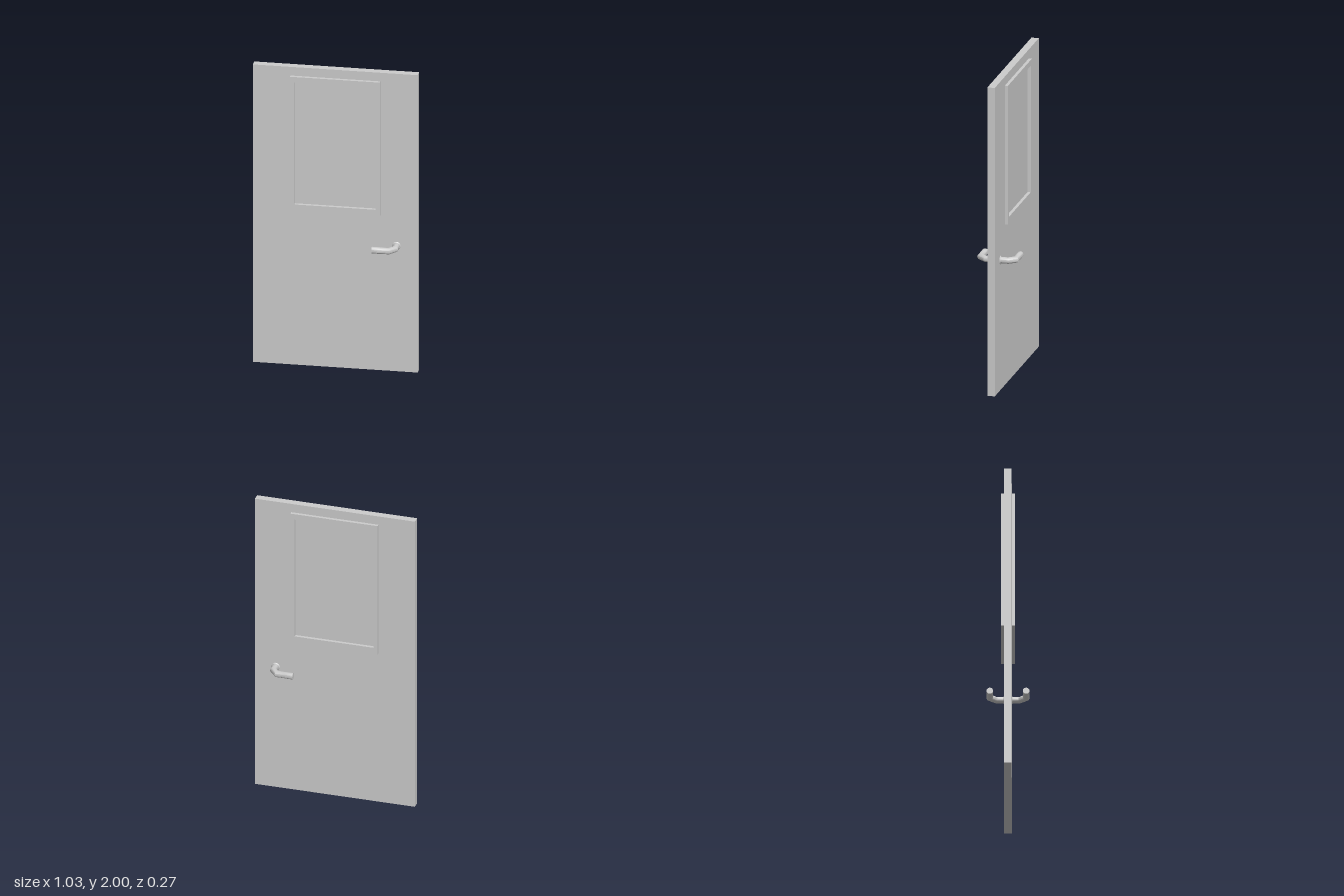
import * as THREE from 'three';
import { toCreasedNormals } from 'three/addons/utils/BufferGeometryUtils.js';

const material = new THREE.MeshStandardMaterial({ color: 0xcccccc });

function part(name, geometry, parent) {
  const mesh = new THREE.Mesh(geometry, material);
  mesh.name = name;
  parent.add(mesh);
  return mesh;
}

// Round bar along a path in the XZ plane with mitred corners; stations are [x, z, radius]
function mitredBar(stations, sides = 16) {
  const positions = [], index = [];
  const pts = stations.map(([x, z]) => new THREE.Vector2(x, z));
  stations.forEach(([x, z, r], i) => {
    const a = pts[Math.max(i - 1, 0)], b = pts[Math.min(i + 1, pts.length - 1)];
    const dIn = pts[i].clone().sub(a).normalize();
    const dOut = b.clone().sub(pts[i]).normalize();
    const t = dIn.clone().add(dOut).normalize();
    const stretch = 1 / t.dot(i ? dIn : dOut);
    for (let k = 0; k < sides; k++) {
      const ang = (k / sides) * Math.PI * 2;
      const side = Math.cos(ang) * r * stretch;
      positions.push(x - t.y * side, Math.sin(ang) * r, z + t.x * side);
    }
  });
  for (let i = 0; i < stations.length - 1; i++) {
    for (let k = 0; k < sides; k++) {
      const a = i * sides + k, b = i * sides + (k + 1) % sides;
      index.push(a, a + sides, b, b, a + sides, b + sides);
    }
  }
  // End caps
  const last = (stations.length - 1) * sides;
  for (let k = 1; k < sides - 1; k++) {
    index.push(0, k, k + 1, last, last + k + 1, last + k);
  }
  const geometry = new THREE.BufferGeometry();
  geometry.setAttribute('position', new THREE.Float32BufferAttribute(positions, 3));
  geometry.setIndex(index);
  return toCreasedNormals(geometry, 0.6);
}

function rectangle(PathType, x, y0, y1) {
  const p = new PathType();
  p.moveTo(-x, y0);
  p.lineTo(x, y0);
  p.lineTo(x, y1);
  p.lineTo(-x, y1);
  p.closePath();
  return p;
}

export function createModel() {
  const model = new THREE.Group();
  model.name = 'door';
  const halfDepth = 0.0235, handleY = 0.843, spindleX = 0.381;

  // Door leaf
  part('doorPanel', new THREE.BoxGeometry(1.03, 2, halfDepth * 2), model).position.y = 1;

  // Raised window frame, one per face
  const outline = rectangle(THREE.Shape, 0.281, 1.042, 1.942);
  outline.holes.push(rectangle(THREE.Path, 0.254, 1.085, 1.904));
  const frameGeometry = new THREE.ExtrudeGeometry(outline, { depth: 0.02, bevelEnabled: false });
  part('frontWindowFrame', frameGeometry, model).position.z = halfDepth;
  part('backWindowFrame', frameGeometry, model).position.z = -halfDepth - 0.02;

  // Lever: post out of the door, angled elbow, then a grip with a slightly thicker end
  const lever = mitredBar([
    [spindleX, 0.015, 0.02],
    [spindleX, 0.072, 0.02],
    [0.347, 0.112, 0.02],
    [0.292, 0.112, 0.02],
    [0.29, 0.112, 0.0207],
    [0.242, 0.112, 0.0207],
  ]);
  const rosette = new THREE.CylinderGeometry(0.022, 0.028, 0.006, 24).rotateX(Math.PI / 2);
  for (const [name, turn] of [['frontHandle', 0], ['backHandle', Math.PI]]) {
    const handle = new THREE.Group();
    handle.name = name;
    handle.position.y = handleY;
    handle.rotation.x = turn;
    part('lever', lever, handle);
    part('rosette', rosette, handle).position.set(spindleX, 0, halfDepth + 0.002);
    model.add(handle);
  }
  return model;
}
